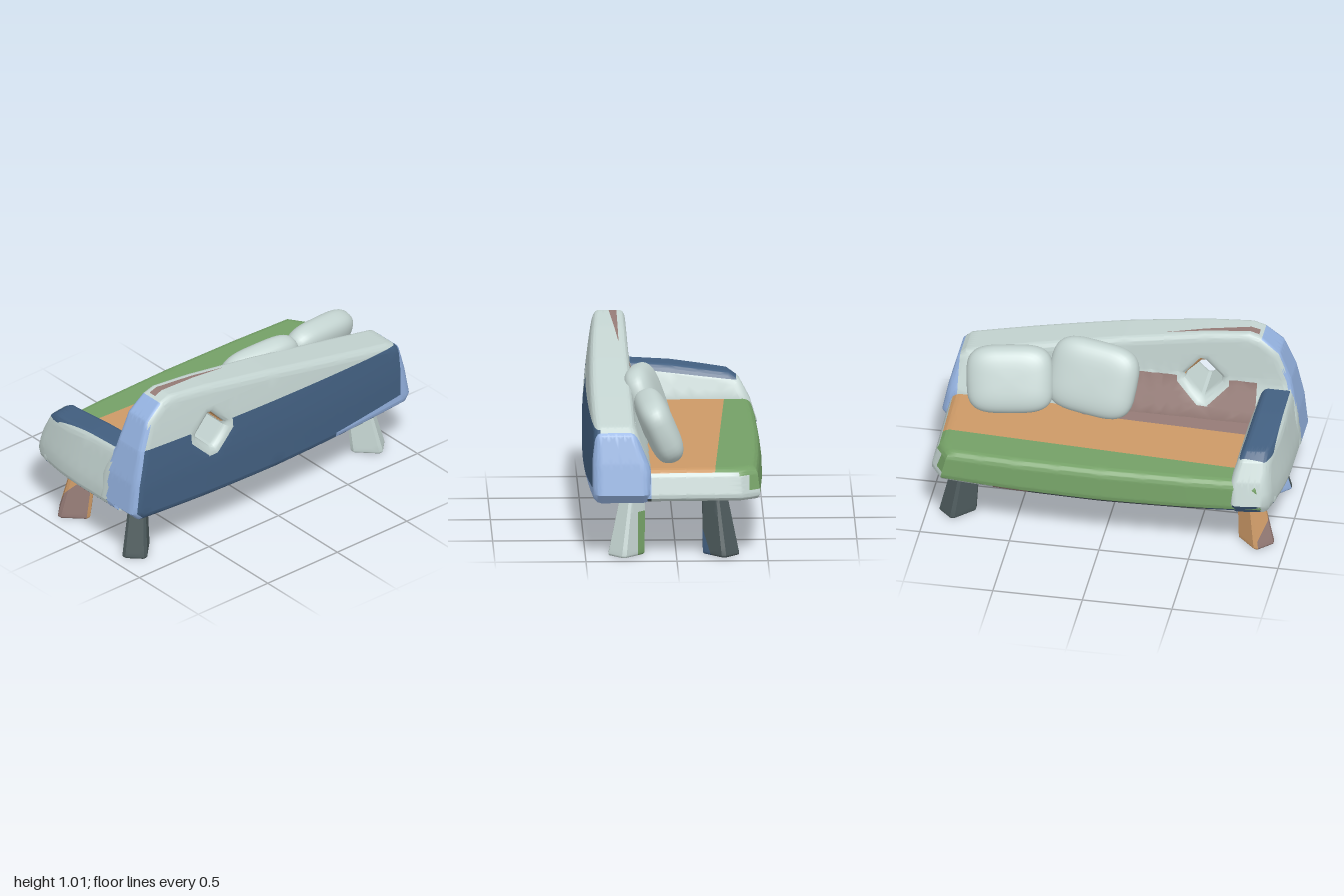
import * as THREE from 'three';
import { toCreasedNormals } from 'three/addons/utils/BufferGeometryUtils.js';

const colours = {
  pale: 0xc4d4d1, navy: 0x425f80, lightBlue: 0x94b2e0, green: 0x74a066,
  orange: 0xcc9966, mauve: 0x957b76, slate: 0x4c595b,
};
const names = Object.keys(colours);
const materials = names.map((name) => {
  const m = new THREE.MeshStandardMaterial({ color: colours[name] });
  m.name = name;
  return m;
});
const mix = THREE.MathUtils.lerp;
const V = (x, y, z) => new THREE.Vector3(x, y, z);

// Halve long edges so that a rule can bend the surface
function refine(tri, max, out) {
  const len = tri.map((a, i) => a.distanceTo(tri[(i + 1) % 3]));
  const i = len.indexOf(Math.max(...len));
  if (len[i] <= max) { out.push(tri); return out; }
  const [a, b, c] = [tri[i], tri[(i + 1) % 3], tri[(i + 2) % 3]];
  const m = a.clone().add(b).multiplyScalar(0.5);
  refine([a, m, c], max, out);
  refine([m, b, c], max, out);
  return out;
}

// Split triangles along a plane so that colours meet on a clean line
function cut(tris, plane) {
  return tris.flatMap((t) => {
    const d = t.map(plane).map((v) => (Math.abs(v) < 1e-5 ? 0 : v));
    if (Math.min(...d) >= 0 || Math.max(...d) <= 0) return [t];
    return [1, -1].flatMap((s) => {
      const poly = [];
      t.forEach((a, i) => {
        const j = (i + 1) % 3;
        if (d[i] * s >= 0) poly.push(a);
        if (d[i] * d[j] < 0) poly.push(a.clone().lerp(t[j], d[i] / (d[i] - d[j])));
      });
      return poly.slice(2).map((_, k) => [poly[0], poly[k + 1], poly[k + 2]]);
    });
  });
}

// Bend a geometry by a rule, cut it, and give each face its colour
function paintedMesh(name, source, rule, planes, colourAt, max = 0.08) {
  const g = source.index ? source.toNonIndexed() : source;
  const p = g.attributes.position;
  let tris = [];
  for (let i = 0; i < p.count; i += 3) {
    refine([0, 1, 2].map((k) => new THREE.Vector3().fromBufferAttribute(p, i + k)), max, tris);
  }
  tris = tris.map((t) => t.map(rule));
  for (const plane of planes) tris = cut(tris, plane);
  const sets = names.map(() => []);
  const n = new THREE.Vector3();
  for (const t of tris) {
    new THREE.Triangle(...t).getNormal(n);
    const c = t[0].clone().add(t[1]).add(t[2]).divideScalar(3);
    sets[names.indexOf(colourAt(c, n))].push(t);
  }
  let geo = new THREE.BufferGeometry().setFromPoints(sets.flat(2));
  geo.scale(100, 100, 100);
  geo = toCreasedNormals(geo, 0.75);
  geo.scale(0.01, 0.01, 0.01);
  let start = 0;
  sets.forEach((s, k) => {
    if (s.length) geo.addGroup(start, s.length * 3, k);
    start += s.length * 3;
  });
  const mesh = new THREE.Mesh(geo, materials);
  mesh.name = name;
  return mesh;
}

// Bevelled slab from an outline; its depth runs from z = 0 to 1
function slab(points, depth, bevel, hole) {
  const shape = new THREE.Shape(points.map((q) => new THREE.Vector2(...q)));
  if (hole) shape.holes.push(new THREE.Path(hole.map((q) => new THREE.Vector2(...q))));
  const g = new THREE.ExtrudeGeometry(shape, {
    depth: depth - 2 * bevel, bevelThickness: bevel, bevelSize: bevel, bevelOffset: -bevel, bevelSegments: 3,
  });
  return g.translate(0, 0, bevel).scale(1, 1, 1 / depth);
}

function backrest() {
  const outline = [[-0.95, 0.32], [-1, 0.37], [-0.98, 0.55], [-0.935, 0.75], [-0.87, 0.91], [-0.77, 0.99],
    [-0.7, 1.012], [-0.45, 0.985], [0, 0.91], [0.5, 0.81], [0.88, 0.73], [0.925, 0.69], [0.965, 0.54],
    [1, 0.37], [0.96, 0.32], [0.5, 0.307], [0, 0.3], [-0.5, 0.307]];
  // Diamond window
  const [hx, hy, r, c] = [-0.45, 0.715, 0.1, 0.01];
  const hole = [[r, c], [c, r], [-c, r], [-r, c], [-r, -c], [-c, -r], [c, -r], [r, -c]]
    .map(([a, b]) => [hx + a, hy + b]);
  const rule = ({ x, y, z }) => {
    const inner = 0.14 + 0.38 * Math.min(Math.max(0, y - 0.5), 0.22) + 0.08 * Math.max(0, y - 0.72);
    const outer = 0.492 - 0.035 * x * x - 0.17 * Math.max(0, y - 0.5) ** 1.6;
    return V(x, y, mix(inner, outer, z));
  };
  const navyTop = (p) => p.y - 0.735 + 0.02 * p.x;
  const hem = (p) => p.y - 0.4 + 0.09 * (0.92 - p.x);
  const strip = (p) => p.z - 0.29 - 0.09 * (-0.22 - p.x);
  const planes = [navyTop, hem, strip, (p) => p.x - 0.91, (p) => p.x - 0.43, (p) => p.y - 0.72,
    (p) => p.z - 0.29, (p) => p.x + 0.22, (p) => p.x + 0.75];
  const colourAt = (p, n) => {
    const dx = p.x - hx;
    const dy = p.y - hy;
    if (Math.abs(dx) + Math.abs(dy) < 0.178 && Math.max(Math.abs(dx), Math.abs(dy)) < 0.15) {
      return dx > 0 && dy > 0 && p.z < 0.44 && p.z > 0.24 ? 'orange' : 'pale';
    }
    if (n.y < -0.8) return 'navy';
    if (p.x < 0 && n.x < -0.5 && p.z > 0.22) return 'lightBlue';
    const low = navyTop(p) < 0;
    if (low && p.x > 0.91) return 'lightBlue';
    if (low && n.z > 0.1) return p.x > 0.43 && hem(p) < 0 && p.y > 0.325 ? 'lightBlue' : 'navy';
    if (n.y < -0.5) return 'navy';
    if (n.z < -0.2 && p.y < 0.72 && p.x < 0.1 && p.x > -0.75) return 'mauve';
    if (n.y > 0.3 && p.x > -0.75 && p.x < -0.22 && p.z > 0.29 && strip(p) < 0) return 'mauve';
    return 'pale';
  };
  return paintedMesh('backrest', slab(outline, 0.32, 0.045, hole), rule, planes, colourAt);
}

function seat() {
  const plan = [[-0.985, -0.25], [-0.97, 0.36], [-0.9, 0.465], [-0.5, 0.485], [0, 0.495], [0.5, 0.485],
    [0.9, 0.465], [0.97, 0.36], [0.985, -0.25]];
  const rule = ({ x, y, z }) => {
    const lean = 1 - 0.05 * z;
    return V(x * lean, mix(0.302 + 0.025 * x * x, 0.5, z), -y * lean);
  };
  const greenEdge = (p) => p.z + 0.262 - 0.0545 * p.x;
  const mauveEdge = (p) => p.z - 0.06 - 0.04 * p.x;
  const planes = [greenEdge, mauveEdge, (p) => p.x - 0.2, (p) => p.x - 0.6, (p) => p.x - 0.4,
    (p) => p.z + 0.05, (p) => p.z - 0.14, (p) => p.z + 0.4, (p) => p.x + 0.6, (p) => p.y - 0.38];
  const colourAt = (p, n) => {
    if (n.y < -0.5) {
      if (p.x > 0.6 && p.z < 0.14) return 'pale';
      if (p.x > 0.4 && p.z < -0.05) return 'mauve';
      return p.x < -0.6 ? 'navy' : 'slate';
    }
    if (n.y > 0.8 || (n.y > 0.4 && n.z < -0.3)) {
      if (greenEdge(p) < 0) return 'green';
      return mauveEdge(p) > 0 && p.x < 0.2 ? 'mauve' : 'orange';
    }
    if (p.z < -0.4 && n.z < -0.1 && (n.x < 0.35 || p.y > 0.38)) return 'green';
    return p.z > 0.14 ? 'lightBlue' : 'pale';
  };
  return paintedMesh('seat', slab(plan, 0.2, 0.045), rule, planes, colourAt);
}

function arm() {
  const side = [[0.3, 0.32], [0.3, 0.7], [0, 0.682], [-0.33, 0.64], [-0.39, 0.6], [-0.445, 0.5],
    [-0.485, 0.37], [-0.45, 0.315]];
  const rule = ({ x: z, y, z: t }) => {
    const outer = -0.995 + 0.28 * Math.min(0, z) ** 2 + 0.18 * Math.max(0, y - 0.42);
    const inner = -0.72 - 0.33 * Math.max(0, y - 0.5);
    return V(mix(inner, outer, t), y, z < 0 ? z * (1 - 0.06 * t * t) : z);
  };
  const band = (p) => p.y - 0.64 - 0.11 * p.z;
  const planes = [band, (p) => p.x + 0.935, (p) => p.z - 0.22, (p) => p.z + 0.37];
  const colourAt = (p, n) => {
    if (n.y < -0.5) return 'navy';
    if (p.z > 0.22 && n.x < -0.3) return 'lightBlue';
    return band(p) > 0 && p.x > -0.935 && p.z > -0.37 ? 'navy' : 'pale';
  };
  return paintedMesh('arm', slab(side, 0.27, 0.045), rule, planes, colourAt);
}

// Tapered leg turned to the corner given by sx and sz, splayed outwards
function leg(name, sx, sz, planes, colourAt) {
  const [a, b, c] = [0.09, 0.07, 0.018];
  const plan = [[a, b - c], [a - c, b], [c - a, b], [-a, b - c], [-a, c - b], [c - a, -b], [a - c, -b], [a, c - b]];
  const [dx, dz] = [sx * Math.SQRT1_2, sz * Math.SQRT1_2];
  const rule = ({ x, y, z: t }) => {
    const u = x * mix(1, 0.7, t);
    const w = -y * mix(1, 0.62, t);
    const cz = sz > 0 ? mix(0.275, 0.235, t) : mix(0.247, 0.21, t);
    return V(sx * mix(0.835, 0.785, t) + u * dx - w * dz, t * 0.345, sz * cz + u * dz + w * dx);
  };
  return paintedMesh(name, slab(plan, 0.34, 0.015), rule, planes, colourAt, 0.12);
}

// Soft cushion: a sphere squared off in width and height
function pillow(name, w, h, d) {
  const power = (v, e) => Math.sign(v) * Math.abs(v) ** e;
  const rule = ({ x, y, z }) => V((power(x, 0.55) * w) / 2, (power(y, 0.55) * h) / 2, (power(z, 0.8) * d) / 2);
  const g = new THREE.SphereGeometry(1, 40, 20).rotateX(Math.PI / 2);
  return paintedMesh(name, g, rule, [], () => 'pale', 1);
}

export function createModel() {
  const group = new THREE.Group();
  group.name = 'sofa';
  group.add(backrest(), seat(), arm());

  // Legs
  const navyCorner = (p) => p.y - 0.14 - 3.1 * (p.z + 0.145);
  const mauveFoot = (p) => p.y - 0.13 - 1.2 * (p.z + 0.27);
  group.add(
    leg('frontLeftLeg', 1, 1, [(p) => p.z - 0.21, (p) => p.y - 0.24],
      (p) => (p.z < 0.21 && p.y < 0.24 ? 'green' : 'pale')),
    leg('frontRightLeg', -1, 1, [(p) => p.y - 0.2], (p, n) => {
      if (n.x < -0.3 && n.z < -0.3) return p.y > 0.2 ? 'navy' : 'lightBlue';
      return n.z < -0.8 ? 'pale' : 'slate';
    }),
    leg('backLeftLeg', 1, -1, [navyCorner], (p) => (navyCorner(p) < 0 && p.z > -0.2 ? 'navy' : 'slate')),
    leg('backRightLeg', -1, -1, [mauveFoot],
      (p, n) => (mauveFoot(p) < 0 && n.x < -0.4 ? 'mauve' : 'orange')),
  );

  // Pillows leaning on the backrest
  const middle = pillow('middlePillow', 0.5, 0.42, 0.17);
  middle.position.set(0.15, 0.7, 0.14);
  middle.rotation.set(0.36, -0.1, 0.1, 'YXZ');
  const end = pillow('endPillow', 0.48, 0.38, 0.18);
  end.position.set(0.605, 0.67, 0.09);
  end.rotation.set(0.4, 0.08, -0.06, 'YXZ');
  group.add(middle, end);
  return group;
}
